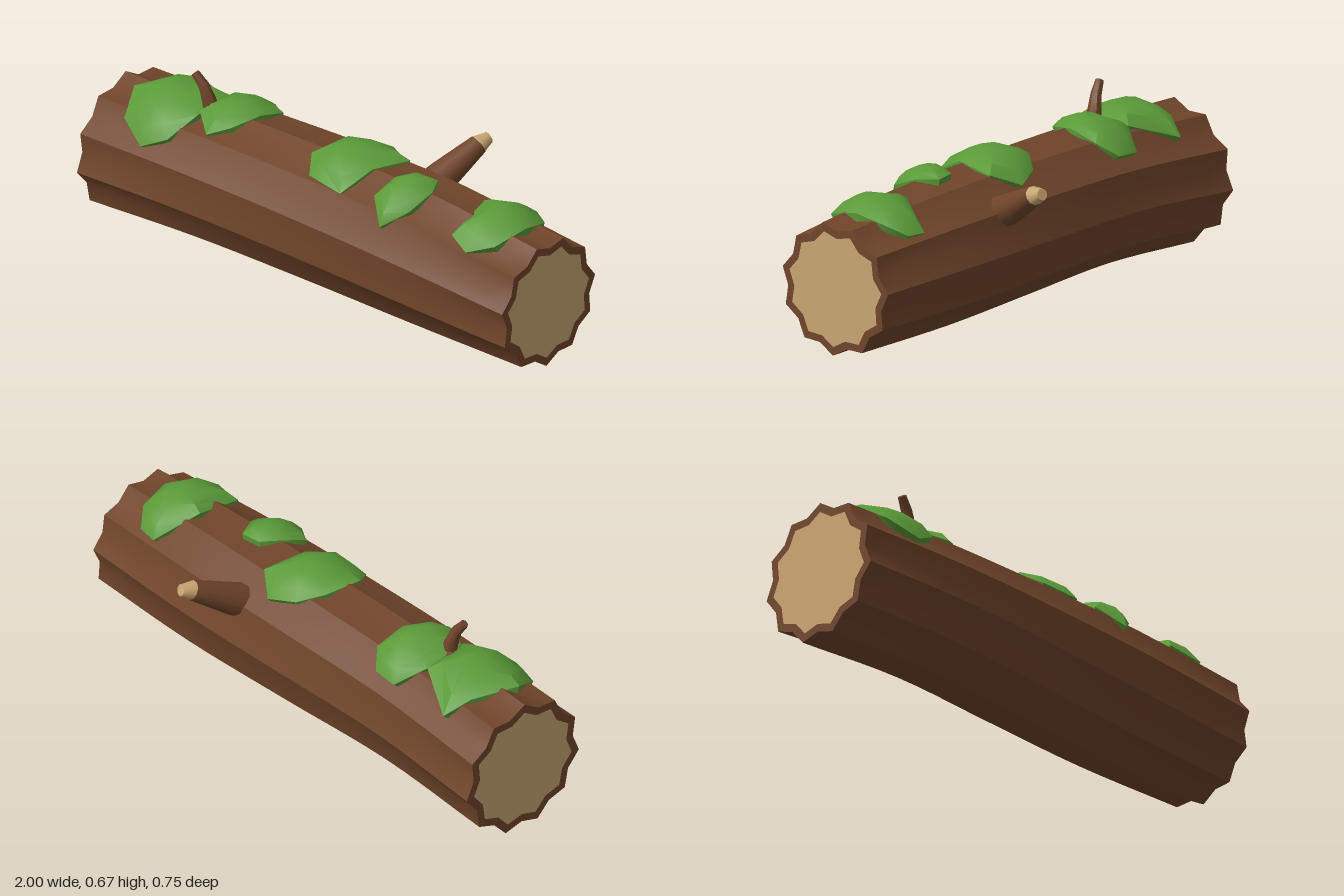
import * as THREE from 'three';
import { toCreasedNormals } from 'three/addons/utils/BufferGeometryUtils.js';

const V = (x, y, z) => new THREE.Vector3(x, y, z);
const bark = new THREE.MeshStandardMaterial({ color: 0x70452a });
const wood = new THREE.MeshStandardMaterial({ color: 0xc8a570 });
const moss = new THREE.MeshStandardMaterial({ color: 0x5a9a38 });

const RIDGES = 11;
// (centre y, centre z, ridge radius) at equal steps along x
const spine = new THREE.CatmullRomCurve3([
  V(0.262, 0.11, 0.268), V(0.285, 0.1, 0.262), V(0.288, 0.072, 0.268), V(0.28, 0.05, 0.268), V(0.262, 0.043, 0.248),
], false, 'catmullrom');
const section = (x) => {
  const p = spine.getPoint(THREE.MathUtils.clamp((x + 1) / 2, 0, 1));
  return { y: p.x, z: p.y, r: p.z };
};

// Point around the log; angle is measured from up toward the front
function around(x, angle, radius) {
  const s = section(x);
  return V(x, s.y + radius * Math.cos(angle), s.z + radius * Math.sin(angle));
}

// Ridged cross-section, slowly twisting along the log
function barkRing(x, scale = 1) {
  const ring = [];
  const twist = THREE.MathUtils.degToRad(7.8 + 6.2 * x);
  const groove = 0.055 + 0.06 * x * x;
  const { r } = section(x);
  for (let j = 0; j < RIDGES * 2; j++) {
    const radius = r * (j % 2 ? 1 - groove : 1) * scale;
    ring.push(around(x, twist + (j * Math.PI) / RIDGES, radius));
  }
  return ring;
}

// Skin a list of closed rings
function loft(name, rings, material, crease) {
  const n = rings[0].length;
  const positions = [];
  const tri = (a, b, c) => {
    if (a.distanceTo(b) < 1e-6 || b.distanceTo(c) < 1e-6 || c.distanceTo(a) < 1e-6) return;
    for (const p of [a, b, c]) positions.push(p.x, p.y, p.z);
  };
  for (let i = 0; i < rings.length - 1; i++) {
    for (let j = 0; j < n; j++) {
      const k = (j + 1) % n;
      tri(rings[i][j], rings[i][k], rings[i + 1][j]);
      tri(rings[i][k], rings[i + 1][k], rings[i + 1][j]);
    }
  }
  const geometry = new THREE.BufferGeometry();
  geometry.setAttribute('position', new THREE.Float32BufferAttribute(positions, 3));
  const mesh = new THREE.Mesh(toCreasedNormals(geometry, crease), material);
  mesh.name = name;
  return mesh;
}

// Tapered round limb along a path, closed at the far end
function limb(name, path, radii, sides, material) {
  const rings = path.map((p, i) => {
    const d = path[Math.min(i + 1, path.length - 1)].clone().sub(path[Math.max(i - 1, 0)]).normalize();
    const u = V(1, 0, 0).addScaledVector(d, -d.x).normalize();
    const v = d.clone().cross(u);
    return Array.from({ length: sides }, (_, j) => {
      const a = (j / sides) * Math.PI * 2;
      return p.clone().addScaledVector(u, radii[i] * Math.cos(a)).addScaledVector(v, radii[i] * Math.sin(a));
    });
  });
  rings.push(rings[0].map(() => path[path.length - 1].clone()));
  return loft(name, rings, material, 0.9);
}

// Moss cushion: an outline seen from above, wrapped onto the log
function mossPatch(outline) {
  const polar = outline.map(([x, z]) => {
    const s = section(x);
    return [x, Math.asin(THREE.MathUtils.clamp((z - s.z) / (s.r + 0.01), -1, 1))];
  });
  const mid = [0, 1].map((k) => polar.reduce((sum, p) => sum + p[k], 0) / polar.length);
  const layers = [[0.99, -0.035], [1, 0.006], [0.72, 0.026], [0.38, 0.037], [0, 0.04]];
  const rings = layers.map(([t, h]) => polar.map(([x, a]) => {
    const px = mid[0] + (x - mid[0]) * t;
    return around(px, mid[1] + (a - mid[1]) * t, section(px).r + h);
  }));
  return loft('mossPatch', rings, moss, 0.7);
}

export function createModel() {
  const model = new THREE.Group();
  model.name = 'mossyLog';

  // Bark with a flat rim at each end
  const rings = [barkRing(-1, 0.87)];
  for (let i = 0; i <= 20; i++) rings.push(barkRing(-1 + i / 10));
  rings.push(barkRing(1, 0.87));
  model.add(loft('bark', rings, bark, 0.6));

  // Cut wood at both ends
  model.add(loft('leftCutEnd', [barkRing(1, 0.87), barkRing(1, 0)], wood, 0.5));
  model.add(loft('rightCutEnd', [barkRing(-1, 0), barkRing(-1, 0.87)], wood, 0.5));

  // Broken branch at the back with a bare wood tip
  model.add(limb('branch', [V(0.26, 0.38, -0.05), V(0.285, 0.45, -0.18), V(0.32, 0.53, -0.322)],
    [0.072, 0.058, 0.037], 10, bark));
  model.add(limb('branchTip', [V(0.319, 0.528, -0.318), V(0.329, 0.545, -0.367)], [0.037, 0.022], 10, wood));

  // Small bent twig on top
  model.add(limb('twig', [V(-0.56, 0.5, 0.13), V(-0.575, 0.57, 0.137), V(-0.593, 0.625, 0.145), V(-0.625, 0.668, 0.155)],
    [0.032, 0.027, 0.021, 0.016], 7, bark));

  // Moss outlines as (x, z)
  const patches = [
    [[-0.84, 0.3], [-0.72, 0.345], [-0.62, 0.31], [-0.57, 0.2], [-0.6, 0], [-0.79, -0.09], [-0.84, 0], [-0.9, 0.18]],
    [[-0.58, 0.18], [-0.48, 0.255], [-0.41, 0.2], [-0.37, 0.08], [-0.37, -0.04], [-0.43, -0.1], [-0.53, -0.1], [-0.6, 0]],
    [[-0.05, 0.16], [0.01, 0.24], [0.17, 0.25], [0.21, 0.12], [0.24, -0.05], [0.14, -0.12], [0.03, -0.08], [-0.04, 0]],
    [[0.3, 0.21], [0.39, 0.28], [0.47, 0.21], [0.485, 0.1], [0.44, 0.02], [0.36, 0.03], [0.31, 0.11]],
    [[0.68, 0.21], [0.77, 0.235], [0.86, 0.18], [0.89, 0.04], [0.87, -0.08], [0.81, -0.145], [0.73, -0.155], [0.65, 0]],
  ];
  for (const outline of patches) model.add(mossPatch(outline));

  return model;
}
